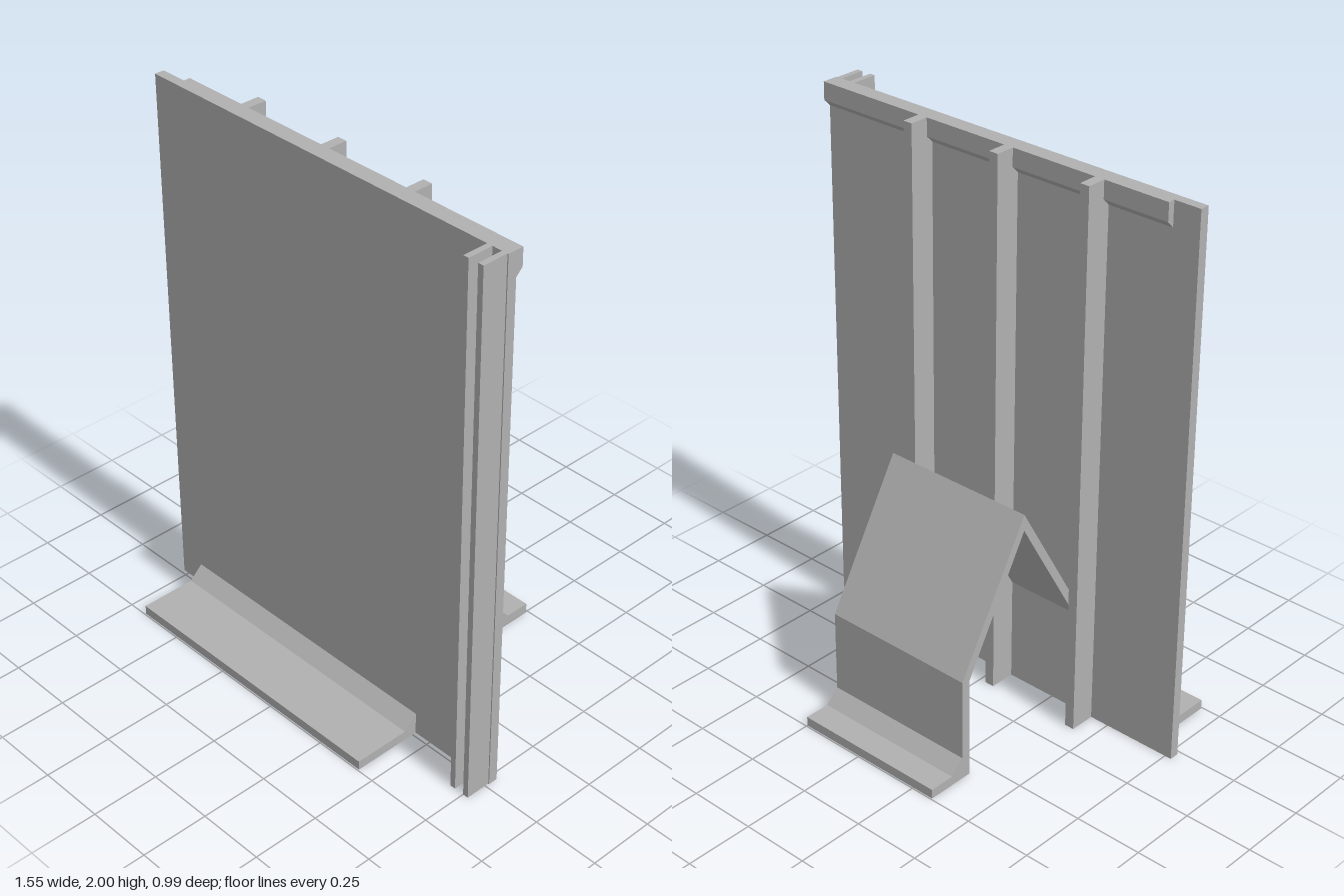
import * as THREE from 'three';

const grey = new THREE.MeshStandardMaterial({ color: 0xb0b0b0 });
grey.name = 'grey';

// Extrudes a (z, y) side profile along x, from x0 to x1
function profile(name, x0, x1, points) {
  const shape = new THREE.Shape(points.map(([z, y]) => new THREE.Vector2(z, y)));
  const geo = new THREE.ExtrudeGeometry(shape, { depth: x1 - x0, bevelEnabled: false });
  geo.rotateY(-Math.PI / 2).translate(x1, 0, 0);
  const mesh = new THREE.Mesh(geo, grey);
  mesh.name = name;
  return mesh;
}

// Full-height upright bar between two x and two z limits
function upright(name, x0, x1, z0, z1) {
  const mesh = new THREE.Mesh(new THREE.BoxGeometry(x1 - x0, 2, z1 - z0), grey);
  mesh.position.set((x0 + x1) / 2, 1, (z0 + z1) / 2);
  mesh.name = name;
  return mesh;
}

export function createModel() {
  const model = new THREE.Group();
  model.name = 'panelStand';

  model.add(upright('panel', -0.775, 0.775, 0.2, 0.235));

  // Stiffening ribs on the back
  for (const x of [-0.41, -0.043, 0.324]) {
    model.add(upright('backRib', x - 0.018, x + 0.018, 0.105, 0.2));
  }

  // Pair of thin fins forming the front groove
  for (const x of [0.692, 0.75]) {
    model.add(upright('frontFin', x, x + 0.021, 0.235, 0.33));
  }

  // Top rail with a chamfered lower edge
  model.add(profile('topRail', -0.675, 0.775, [
    [0.2, 1.91], [0.2, 2], [0.175, 2], [0.175, 1.935],
  ]));

  // Front foot with a sloped fillet
  model.add(profile('frontFoot', -0.675, 0.433, [
    [0.235, 0], [0.495, 0], [0.495, 0.035], [0.285, 0.035], [0.235, 0.083],
  ]));

  // Bent rear support ending in a foot
  model.add(profile('rearSupport', -0.335, 0.25, [
    [0.2, 0.447], [-0.058, 0.888], [-0.35, 0.385], [-0.35, 0.083],
    [-0.4, 0.035], [-0.495, 0.035], [-0.495, 0], [-0.315, 0],
    [-0.315, 0.378], [-0.058, 0.828], [0.2, 0.387],
  ]));

  return model;
}
